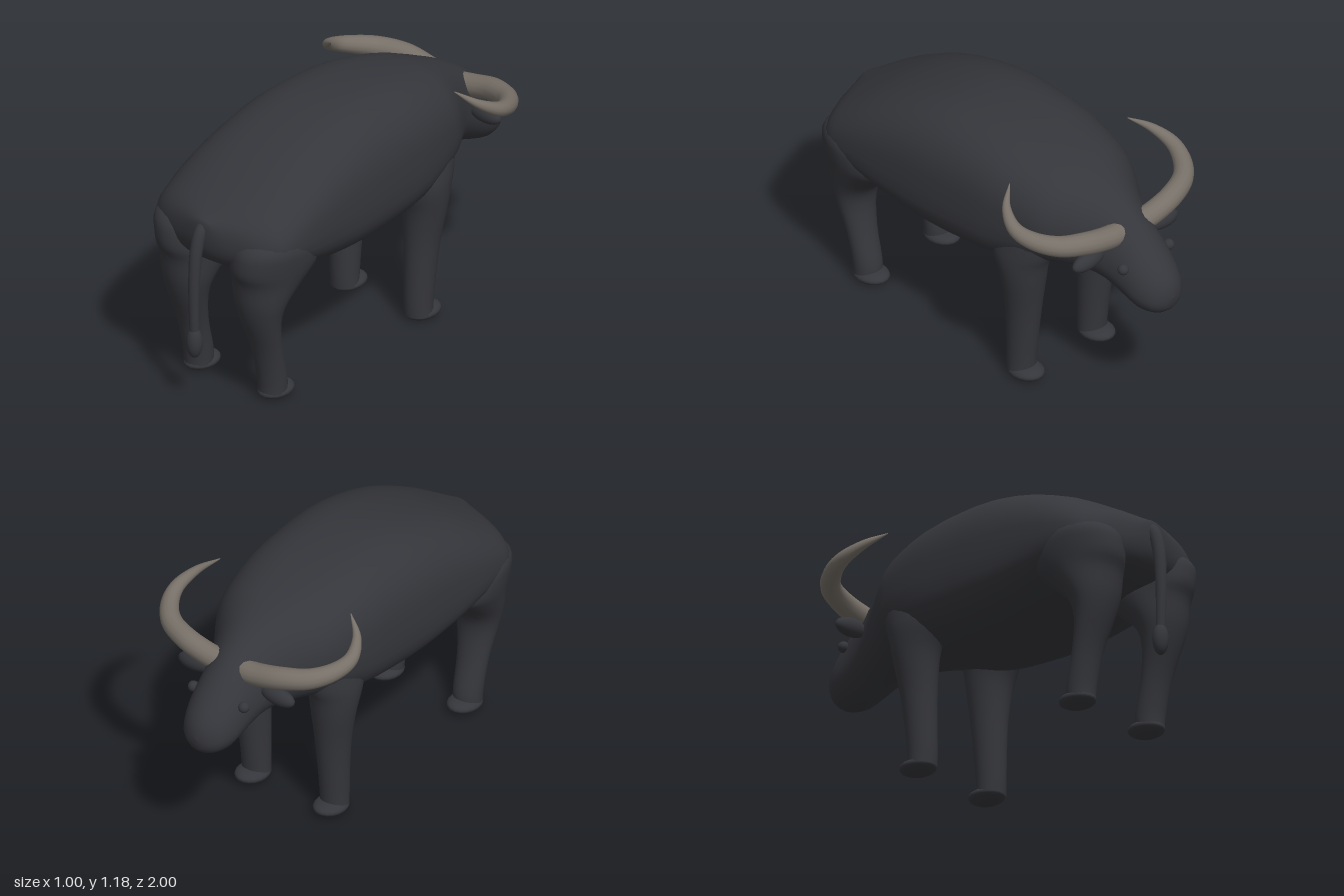
import * as THREE from 'three';

const hide = new THREE.MeshStandardMaterial({ color: 0x35363b });
hide.name = 'charcoalHide';
const horn = new THREE.MeshStandardMaterial({ color: 0x777068 });
horn.name = 'hornGrey';

// Catmull-Rom resampling of rows of numbers
function smoothRows(rows, steps) {
  const out = [];
  for (let i = 0; i < rows.length - 1; i++) {
    const p0 = rows[Math.max(i - 1, 0)], p1 = rows[i], p2 = rows[i + 1];
    const p3 = rows[Math.min(i + 2, rows.length - 1)];
    for (let k = 0; k < steps; k++) {
      const t = k / steps;
      out.push(p1.map((b, c) => {
        const m1 = (p2[c] - p0[c]) / 2, m2 = (p3[c] - b) / 2, d = p2[c] - b;
        return b + t * (m1 + t * (3 * d - 2 * m1 - m2 + t * (m1 + m2 - 2 * d)));
      }));
    }
  }
  out.push(rows[rows.length - 1]);
  return out;
}

// Closed skin over cross-sections; pointAt(row, angle) gives [x, y, z]
function loft(rows, sides, pointAt) {
  const pos = [], index = [];
  rows.forEach((row, i) => {
    for (let j = 0; j < sides; j++) {
      pos.push(...pointAt(row, (j / sides) * Math.PI * 2));
      if (i === rows.length - 1) continue;
      const a = i * sides + j, b = i * sides + (j + 1) % sides;
      index.push(a, b, a + sides, b, b + sides, a + sides);
    }
  });
  const geo = new THREE.BufferGeometry();
  geo.setAttribute('position', new THREE.Float32BufferAttribute(pos, 3));
  geo.setIndex(index);
  geo.computeVertexNormals();
  return geo;
}

// Tube along points whose radius follows radiusAt(t)
function taperTube(points, segments, sides, radiusAt) {
  const path = new THREE.CatmullRomCurve3(points.map((p) => new THREE.Vector3(...p)));
  const geo = new THREE.TubeGeometry(path, segments, 1, sides);
  const pos = geo.attributes.position, v = new THREE.Vector3();
  for (let i = 0; i < pos.count; i++) {
    const t = Math.floor(i / (sides + 1)) / segments;
    const c = path.getPointAt(t);
    v.fromBufferAttribute(pos, i).sub(c).multiplyScalar(radiusAt(t)).add(c);
    pos.setXYZ(i, v.x, v.y, v.z);
  }
  return geo;
}

export function createModel() {
  const model = new THREE.Group();
  model.name = 'buffalo';
  const add = (name, geo, mat = hide) => {
    const mesh = new THREE.Mesh(geo, mat);
    mesh.name = name;
    model.add(mesh);
    return mesh;
  };
  const ellipsoid = (name, [x, y, z], [rx, ry, rz]) => {
    const mesh = add(name, new THREE.SphereGeometry(1, 18, 12));
    mesh.scale.set(rx, ry, rz);
    mesh.position.set(x, y, z);
    return mesh;
  };

  // Head and body in one skin: z, bottom, top, half width, squareness
  const body = [
    [-1.0, 0.68, 0.68, 0, 2], [-0.992, 0.63, 0.73, 0.045, 2],
    [-0.97, 0.602, 0.772, 0.08, 2], [-0.94, 0.586, 0.81, 0.106, 2],
    [-0.88, 0.579, 0.872, 0.13, 2], [-0.8, 0.6, 0.945, 0.14, 2],
    [-0.7, 0.635, 1.012, 0.158, 2], [-0.6, 0.655, 1.065, 0.2, 2.1],
    [-0.5, 0.655, 1.105, 0.265, 2.3], [-0.4, 0.64, 1.137, 0.315, 2.5],
    [-0.2, 0.58, 1.174, 0.355, 2.8], [0, 0.55, 1.188, 0.37, 2.8],
    [0.2, 0.54, 1.178, 0.38, 2.8], [0.4, 0.555, 1.13, 0.382, 2.8],
    [0.6, 0.59, 1.055, 0.382, 2.6], [0.75, 0.62, 0.975, 0.37, 2.3],
    [0.82, 0.64, 0.935, 0.34, 2.2], [0.87, 0.665, 0.905, 0.26, 2.1],
    [0.905, 0.7, 0.885, 0.14, 2], [0.925, 0.75, 0.87, 0.06, 2],
    [0.93, 0.815, 0.815, 0, 2],
  ];
  add('bodyAndHead', loft(smoothRows(body, 2), 40, ([z, lo, hi, w, p], a) => {
    const mid = lo + (hi - lo) * 0.42, c = Math.cos(a), s = Math.sin(a);
    const x = w * Math.sign(c) * Math.abs(c) ** (2 / p);
    const y = Math.sign(s) * Math.abs(s) ** (2 / p);
    return [x, mid + (s > 0 ? hi - mid : mid - lo) * y, z];
  }));

  // Legs, bottom to top: y, centre x, half width, front z, back z
  const hindLeg = [
    [0.03, 0.21, 0.065, 0.63, 0.755], [0.1, 0.21, 0.068, 0.63, 0.76],
    [0.25, 0.21, 0.075, 0.67, 0.79], [0.4, 0.207, 0.098, 0.69, 0.845],
    [0.5, 0.205, 0.125, 0.655, 0.872], [0.6, 0.205, 0.152, 0.54, 0.885],
    [0.66, 0.21, 0.162, 0.46, 0.91], [0.72, 0.218, 0.162, 0.47, 0.912],
    [0.77, 0.224, 0.154, 0.52, 0.9], [0.81, 0.225, 0.125, 0.59, 0.86],
    [0.85, 0.22, 0.02, 0.7, 0.76],
  ];
  const foreLeg = [
    [0.03, 0.21, 0.065, -0.335, -0.21], [0.1, 0.21, 0.065, -0.34, -0.207],
    [0.25, 0.212, 0.07, -0.357, -0.207], [0.4, 0.216, 0.08, -0.378, -0.205],
    [0.55, 0.224, 0.098, -0.405, -0.19], [0.65, 0.226, 0.108, -0.425, -0.15],
    [0.72, 0.22, 0.11, -0.455, -0.125], [0.82, 0.205, 0.106, -0.475, -0.14],
    [0.92, 0.185, 0.08, -0.45, -0.2], [1.0, 0.17, 0.02, -0.38, -0.28],
  ];
  for (const [side, s] of [['left', 1], ['right', -1]]) {
    for (const [kind, rows, hoofZ] of [['HindLeg', hindLeg, 0.67], ['ForeLeg', foreLeg, -0.3]]) {
      add(side + kind, loft(smoothRows(rows, 3), 24, ([y, x, w, z0, z1], a) => [
        s * x + w * Math.cos(a), y, (z0 + z1) / 2 - (z1 - z0) / 2 * Math.sin(a),
      ]));
      // Rounded hoof pointing forward
      const hoof = ellipsoid(side + kind + 'Hoof', [s * 0.21, 0.036, hoofZ], [0.073, 0.033, 0.091]);
      hoof.rotation.x = 0.05;
    }

    // Horn sweeping out, back and up to a point
    add(side + 'Horn', taperTube([
      [s * 0.06, 0.915, -0.725], [s * 0.13, 0.925, -0.73], [s * 0.25, 0.95, -0.722],
      [s * 0.37, 0.967, -0.672], [s * 0.442, 0.988, -0.585], [s * 0.465, 1.015, -0.5],
      [s * 0.43, 1.063, -0.41], [s * 0.35, 1.12, -0.345],
    ], 40, 14, (t) => 0.05 * (1 - t ** 2.6) + 0.002), horn);

    // Drooping ear below the horn
    const ear = ellipsoid(side + 'Ear', [s * 0.22, 0.833, -0.7], [0.09, 0.043, 0.036]);
    ear.rotation.z = s * -0.08;
    ellipsoid(side + 'Eye', [s * 0.135, 0.81, -0.83], [0.025, 0.025, 0.025]);
  }

  // Tail and its tuft
  add('tail', taperTube([
    [0, 0.85, 0.89], [0, 0.82, 0.925], [0, 0.74, 0.953], [0, 0.6, 0.967],
    [0, 0.45, 0.968], [0, 0.34, 0.965],
  ], 28, 12, (t) => 0.031 - 0.01 * t));
  ellipsoid('tailTuft', [0, 0.302, 0.965], [0.037, 0.074, 0.035]);

  return model;
}
